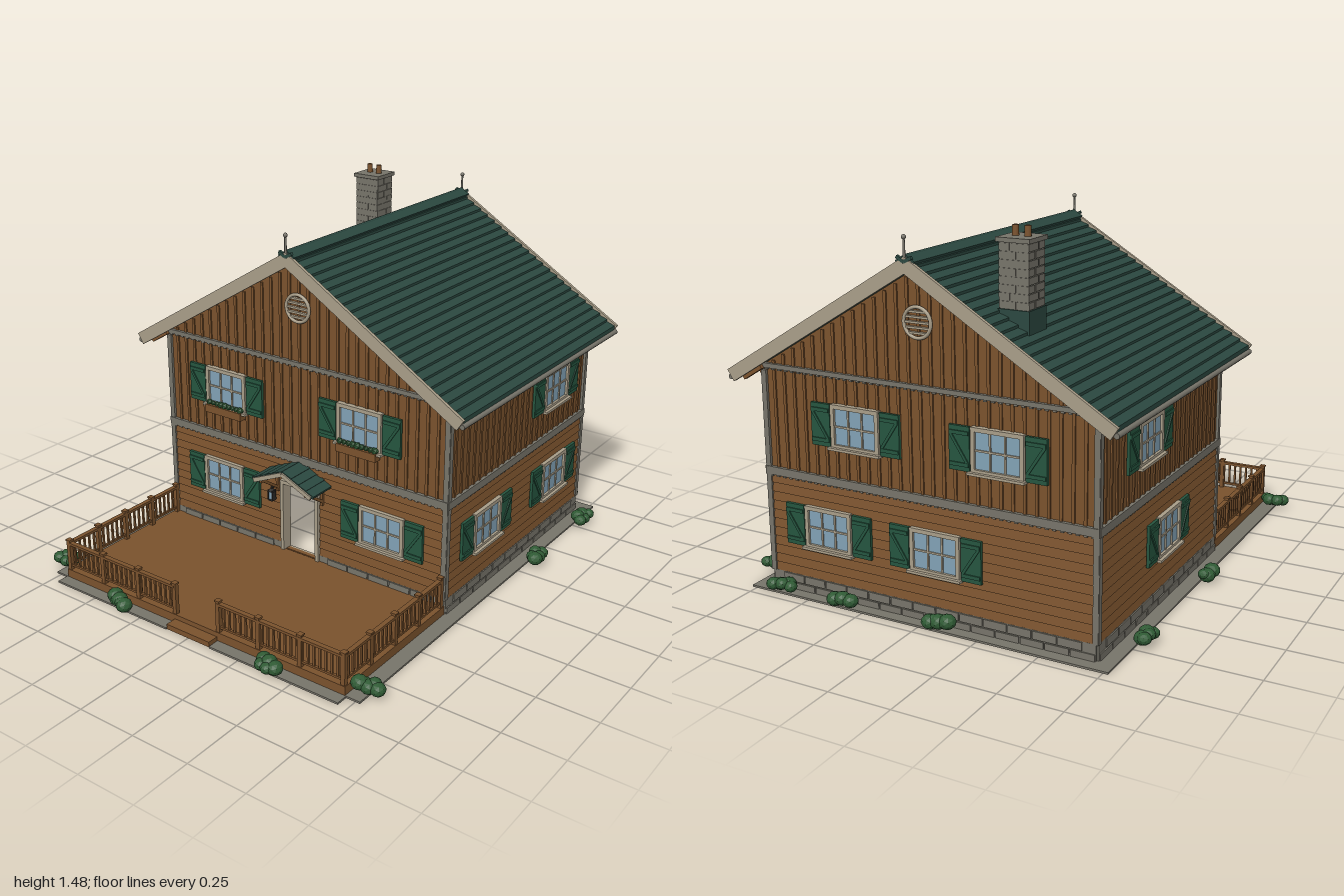
import * as THREE from 'three';
import { mergeGeometries } from 'three/addons/utils/BufferGeometryUtils.js';

const material = (name, color, extra = {}) => {
  const m = new THREE.MeshStandardMaterial({ color, ...extra });
  m.name = name;
  return m;
};

export function createModel() {
  const wood = material('wood', 0x7a522d);
  const trim = material('cream trim', 0xa99e89);
  const stone = material('grey stone', 0x77746a);
  const roofGreen = material('roof green', 0x2b4840);
  const shutterGreen = material('shutter green', 0x25553f);
  const leaf = material('leaf green', 0x2f5a34, { flatShading: true });
  const glass = material('window glass', 0x82a2b6);
  const iron = material('dark iron', 0x2a2826);

  const house = new THREE.Group();
  house.name = 'house';

  // Helpers: a placed box, a merged mesh, a mesh extruded from points
  const box = (w, h, d, x, y, z, rz = 0, rx = 0) =>
    new THREE.BoxGeometry(w, h, d).rotateZ(rz).rotateX(rx).translate(x, y, z);
  const add = (parent, name, mat, ...geos) => {
    const mesh = new THREE.Mesh(mergeGeometries(geos.map(g => (g.index ? g.toNonIndexed() : g))), mat);
    mesh.name = name;
    parent.add(mesh);
    return mesh;
  };
  const extrude = (pts, depth, z = 0, hole) => {
    const shape = new THREE.Shape(pts.map(p => new THREE.Vector2(...p)));
    if (hole) shape.holes.push(new THREE.Path(hole.map(p => new THREE.Vector2(...p))));
    return new THREE.ExtrudeGeometry(shape, { depth, bevelEnabled: false }).translate(0, 0, z);
  };

  const SLOPE = 0.61, ANGLE = Math.atan(SLOPE);

  // Lapped boards with a sawtooth section, from x0 to x1
  const lapBoards = (x0, x1, y0, y1) => {
    const n = Math.round((y1 - y0) / 0.036), pts = [[-0.005, y0]];
    for (let i = 0; i < n; i++) {
      const a = y0 + (y1 - y0) * i / n, b = y0 + (y1 - y0) * (i + 1) / n;
      pts.push([0.008, a], [0.001, b]);
    }
    pts.push([-0.005, y1]);
    return extrude(pts, x1 - x0).rotateY(-Math.PI / 2).translate(x1, 0, 0);
  };

  // Window with frame, bars, sill, shutters and an inner face
  const addWindow = (wall, x, y, flowers) => {
    const g = new THREE.Group();
    g.name = 'window';
    g.position.set(x, y, 0);
    wall.add(g);
    add(g, 'panes', glass, box(0.19, 0.15, 0.008, 0, 0, 0.009), box(0.18, 0.14, 0.005, 0, 0, -0.032));
    const frame = [];
    for (const s of [-1, 1]) {
      frame.push(box(0.016, 0.165, 0.022, s * 0.098, 0, 0.012), box(0.21, 0.016, 0.022, 0, s * 0.077, 0.012));
      frame.push(box(0.007, 0.15, 0.006, s * 0.03, 0, 0.015), box(0.007, 0.14, 0.004, s * 0.03, 0, -0.036));
    }
    frame.push(box(0.19, 0.007, 0.006, 0, 0, 0.015), box(0.18, 0.007, 0.004, 0, 0, -0.036));
    frame.push(box(0.23, 0.01, 0.036, 0, -0.084, 0.018));
    add(g, 'windowFrame', trim, ...frame);
    const shutters = [];
    for (const s of [-1, 1]) {
      shutters.push(box(0.084, 0.165, 0.012, s * 0.153, 0, 0.014));
      for (const t of [-1, 1]) shutters.push(box(0.078, 0.014, 0.006, s * 0.153, t * 0.058, 0.022));
      shutters.push(box(0.125, 0.011, 0.005, s * 0.153, 0, 0.022, s * 0.99));
    }
    add(g, 'shutters', shutterGreen, ...shutters);
    if (!flowers) return;
    add(g, 'flowerBox', wood, box(0.19, 0.034, 0.035, 0, -0.096, 0.026));
    const plants = [];
    for (let i = 0; i < 9; i++)
      plants.push(new THREE.IcosahedronGeometry(0.014 + 0.003 * Math.sin(i * 5), 0).translate(-0.084 + i * 0.021, -0.072, 0.028));
    add(g, 'flowerBoxPlants', leaf, ...plants);
  };

  // One outside wall, built facing +z in its own frame
  const addWall = (name, half, gable, door, windows) => {
    const wall = new THREE.Group();
    wall.name = name;
    house.add(wall);
    const outline = h => gable
      ? [[-h, 0], [h, 0], [h, 1.33 - SLOPE * h], [0, 1.33], [-h, 1.33 - SLOPE * h]]
      : [[-h, 0], [h, 0], [h, 0.89], [-h, 0.89]];
    const hole = door && [[-0.085, 0.045], [0.085, 0.045], [0.085, 0.36], [-0.085, 0.36]];
    add(wall, 'wallPanel', wood, extrude(outline(half), 0.02, -0.02, hole));
    add(wall, 'innerWall', trim, extrude(outline(half - 0.02), 0.01, -0.03, hole));

    // Lapped boards below, upright battens above
    const spans = door ? [[-half, -0.09], [0.09, half]] : [[-half, half]];
    const boards = spans.map(([a, b]) => lapBoards(a, b, 0.07, 0.47));
    if (door) boards.push(lapBoards(-0.09, 0.09, 0.365, 0.47));
    add(wall, 'lapSiding', wood, ...boards);
    const battens = [], n = Math.round(half * 2 / 0.047);
    for (let i = 1; i < n; i++) {
      const x = -half + 2 * half * i / n, top = gable ? 1.32 - SLOPE * Math.abs(x) : 0.89;
      battens.push(box(0.012, top - 0.49, 0.007, x, (top + 0.49) / 2, 0.0025));
    }
    add(wall, 'battens', wood, ...battens);

    // Stone base in two staggered courses
    const blocks = [];
    for (const [a, b] of spans) {
      blocks.push(box(b - a, 0.072, 0.03, (a + b) / 2, 0.036, -0.007));
      const count = Math.round((b - a) / 0.1), w = (b - a) / count;
      for (let r = 0; r < 2; r++)
        for (let i = 0; i < count - r; i++)
          blocks.push(box(w - 0.006, 0.031, 0.02, a + (i + 0.5 + r / 2) * w, 0.018 + r * 0.036, 0.003));
    }
    add(wall, 'stoneBase', stone, ...blocks);

    // Bands with small dentils, and corner boards
    const bands = [];
    for (const [y, h] of gable ? [[0.483, 0.032], [0.9, 0.018]] : [[0.483, 0.032]]) {
      bands.push(box(half * 2 + 0.02, h, 0.02, 0, y, 0.004));
      const m = Math.round(half * 2 / 0.03);
      for (let i = 0; i < m; i++) bands.push(box(0.014, 0.008, 0.012, -half + (i + 0.5) * 2 * half / m, y - h / 2 - 0.003, 0.004));
    }
    for (const s of [-1, 1]) bands.push(box(0.022, 0.81, 0.022, s * (half - 0.002), 0.475, 0.0));
    add(wall, 'bandsAndCorners', stone, ...bands);

    // Round gable vent
    if (gable) {
      const vent = [new THREE.TorusGeometry(0.056, 0.007, 8, 28).translate(0, 1.135, 0.012)];
      for (let i = -2; i <= 2; i++) vent.push(box(2 * Math.sqrt(0.0031 - (i * 0.019) ** 2), 0.008, 0.012, 0, 1.135 + i * 0.019, 0.009));
      add(wall, 'gableVent', trim, ...vent);
    }
    for (const w of windows) addWindow(wall, ...w);
    return wall;
  };

  const LOW = 0.285, HIGH = 0.705;
  const front = addWall('frontWall', 0.7, true, true, [[-0.405, LOW], [0.41, LOW], [-0.38, HIGH, true], [0.3, HIGH, true]]);
  front.position.z = 0.23;
  const back = addWall('backWall', 0.7, true, false, [[-0.42, LOW], [0.055, LOW], [-0.28, HIGH], [0.32, HIGH]]);
  back.position.z = -0.9;
  back.rotation.y = Math.PI;
  const left = addWall('leftWall', 0.565, false, false, [[-0.275, LOW], [0.295, LOW], [0.272, HIGH]]);
  left.position.set(0.7, 0, -0.335);
  left.rotation.y = Math.PI / 2;
  const right = addWall('rightWall', 0.565, false, false, [[0.03, LOW], [-0.165, HIGH]]);
  right.position.set(-0.7, 0, -0.335);
  right.rotation.y = -Math.PI / 2;

  // Doorway surround
  add(front, 'doorFrame', trim, box(0.016, 0.32, 0.05, -0.09, 0.205, -0.005), box(0.016, 0.32, 0.05, 0.09, 0.205, -0.005),
    box(0.196, 0.016, 0.05, 0, 0.362, -0.005));

  // Door canopy with brackets
  for (const s of [-1, 1]) {
    const slab = [];
    for (let i = 0; i < 4; i++) slab.push(box(0.05, 0.012, 0.125, s * (0.022 + i * 0.037), 0.461 - i * 0.0165, 0.065, -s * 0.36));
    add(front, 'canopyRoof', roofGreen, ...slab);
    add(front, 'canopyEdge', trim, box(0.16, 0.018, 0.012, s * 0.073, 0.431, 0.128, -s * 0.42));
    add(front, 'canopyBracket', wood, box(0.012, 0.085, 0.012, s * 0.115, 0.355, 0.012), box(0.012, 0.012, 0.12, s * 0.115, 0.397, 0.065),
      box(0.012, 0.012, 0.13, s * 0.115, 0.362, 0.06, 0, -0.6));
  }

  // Wall lantern
  add(front, 'lanternFrame', iron, box(0.008, 0.008, 0.03, -0.137, 0.325, 0.015), new THREE.ConeGeometry(0.018, 0.016, 6).translate(-0.137, 0.318, 0.026),
    box(0.024, 0.006, 0.024, -0.137, 0.27, 0.026), box(0.004, 0.045, 0.026, -0.148, 0.292, 0.026), box(0.004, 0.045, 0.026, -0.126, 0.292, 0.026));
  add(front, 'lanternGlass', glass, box(0.018, 0.04, 0.018, -0.137, 0.292, 0.026));

  // Roof slopes in stepped courses, barge boards, gutters and rafter tails
  const courses = 22, eave = 0.795;
  for (const s of [-1, 1]) {
    const pts = [[0, 1.335], [s * eave, 1.335 - SLOPE * eave]];
    for (let i = 0; i < courses; i++) {
      const a = eave * (1 - i / courses), b = eave * (1 - (i + 1) / courses);
      pts.push([s * a, 1.371 - SLOPE * a], [s * b, 1.361 - SLOPE * b]);
    }
    add(house, 'roofSlope', roofGreen, extrude(pts, 1.28, -0.975));
    const barge = [[0, 1.378], [0, 1.318], [s * 0.778, 1.318 - SLOPE * 0.778], [s * 0.806, 1.378 - SLOPE * 0.806]];
    add(house, 'bargeBoards', trim, extrude(barge, 0.014, 0.303), extrude(barge, 0.014, -0.987));
    add(house, 'gutter', stone, new THREE.CylinderGeometry(0.011, 0.011, 1.29, 10).rotateX(Math.PI / 2).translate(s * 0.797, 0.858, -0.335));
    const tails = [];
    for (let i = 0; i < 13; i++) tails.push(box(0.1, 0.022, 0.018, s * 0.74, 0.872, -0.92 + i * 0.0975, -s * ANGLE));
    add(house, 'rafterTails', wood, ...tails);
    add(house, 'ridgeCap', roofGreen, box(0.04, 0.012, 1.29, s * 0.019, 1.367, -0.335, -s * ANGLE));
  }
  add(house, 'ridgeRoll', roofGreen, new THREE.CylinderGeometry(0.009, 0.009, 1.29, 10).rotateX(Math.PI / 2).translate(0, 1.377, -0.335));
  for (const z of [0.312, -0.982]) {
    add(house, 'finial', stone, new THREE.CylinderGeometry(0.004, 0.006, 0.09, 8).translate(0, 1.4, z), new THREE.SphereGeometry(0.009, 10, 8).translate(0, 1.445, z));
    add(house, 'finialFoot', roofGreen, box(0.035, 0.012, 0.012, 0.015, 1.368, z, 0.5), box(0.035, 0.012, 0.012, -0.015, 1.368, z, -0.5));
  }

  // Chimney with flashing, bricks, cap and pots
  const chimney = new THREE.Group();
  chimney.name = 'chimney';
  chimney.position.set(-0.342, 0, -0.777);
  house.add(chimney);
  add(chimney, 'flashing', roofGreen, box(0.124, 0.15, 0.124, 0, 1.125, 0));
  const bricks = [box(0.112, 0.3, 0.112, 0, 1.28, 0), box(0.132, 0.016, 0.132, 0, 1.438, 0)];
  for (let r = 0; r < 8; r++)
    for (let i = 0; i < 2; i++) {
      const w = (r + i) % 2 ? 0.067 : 0.043, c = (i ? 1 : -1) * (0.058 - w / 2), y = 1.215 + r * 0.0285;
      bricks.push(box(w - 0.002, 0.025, 0.118, c, y, 0), box(0.118, 0.025, w - 0.002, 0, y, c));
    }
  add(chimney, 'stack', stone, ...bricks);
  add(chimney, 'pots', wood, ...[-0.024, 0.024].map(x => new THREE.CylinderGeometry(0.011, 0.013, 0.04, 12).translate(x, 1.463, 0)));

  // Gravel border round the house and deck
  add(house, 'gravelBorder', stone, box(0.07, 0.008, 1.86, 0.735, 0.004, -0.03), box(0.07, 0.008, 1.86, -0.735, 0.004, -0.03),
    box(1.54, 0.008, 0.06, 0, 0.004, -0.93), box(0.6, 0.008, 0.05, 0.41, 0.004, 0.925), box(0.6, 0.008, 0.05, -0.41, 0.004, 0.925));

  // Deck, step and railing
  add(house, 'deck', wood, box(1.41, 0.036, 0.665, 0, 0.026, 0.5675));
  add(house, 'step', wood, box(0.215, 0.022, 0.05, 0, 0.013, 0.922));
  const addRail = (x0, z0, x1, z1, bays) => {
    const length = Math.hypot(x1 - x0, z1 - z0), parts = [];
    for (let i = 0; i <= bays; i++) parts.push(box(0.018, 0.135, 0.018, (i / bays - 0.5) * length, 0.108, 0), box(0.023, 0.006, 0.023, (i / bays - 0.5) * length, 0.177, 0));
    parts.push(box(length, 0.011, 0.02, 0, 0.163, 0), box(length, 0.009, 0.011, 0, 0.065, 0));
    const n = Math.round(length / 0.027);
    for (let i = 1; i < n; i++) parts.push(box(0.008, 0.1, 0.008, (i / n - 0.5) * length, 0.113, 0));
    const rail = add(house, 'deckRailing', wood, ...parts);
    rail.position.set((x0 + x1) / 2, 0, (z0 + z1) / 2);
    rail.rotation.y = -Math.atan2(z1 - z0, x1 - x0);
  };
  for (const s of [-1, 1]) {
    addRail(s * 0.693, 0.25, s * 0.693, 0.888, 4);
    addRail(s * 0.11, 0.888, s * 0.693, 0.888, 3);
  }

  // Bushes: x, z and turn
  const bushes = [[-0.77, 0.835, 0], [0.765, 0.835, 0.2], [-0.36, 0.95, -0.3], [0.39, 0.95, -0.3], [-0.8, -0.7, 1.5], [-0.8, -0.08, 1.4],
    [0.8, -0.78, 1.5], [0.8, -0.345, 1.7], [-0.09, -0.955, 0.1], [0.33, -0.955, 0], [0.62, -0.955, 0.2]];
  bushes.forEach(([x, z, turn], k) => {
    const clumps = [];
    for (let i = 0; i < 5; i++)
      clumps.push(new THREE.IcosahedronGeometry(0.029 + 0.005 * Math.sin(i * 3 + k), 1).scale(1, 0.85, 1)
        .translate((i - 2) * 0.018, 0.042 + 0.006 * Math.sin(i * 2.3 + k), 0.012 * Math.cos(i * 3.1 + k)));
    const bush = add(house, 'bush', leaf, ...clumps);
    bush.position.set(x, 0, z);
    bush.rotation.y = turn;
  });

  return house;
}
